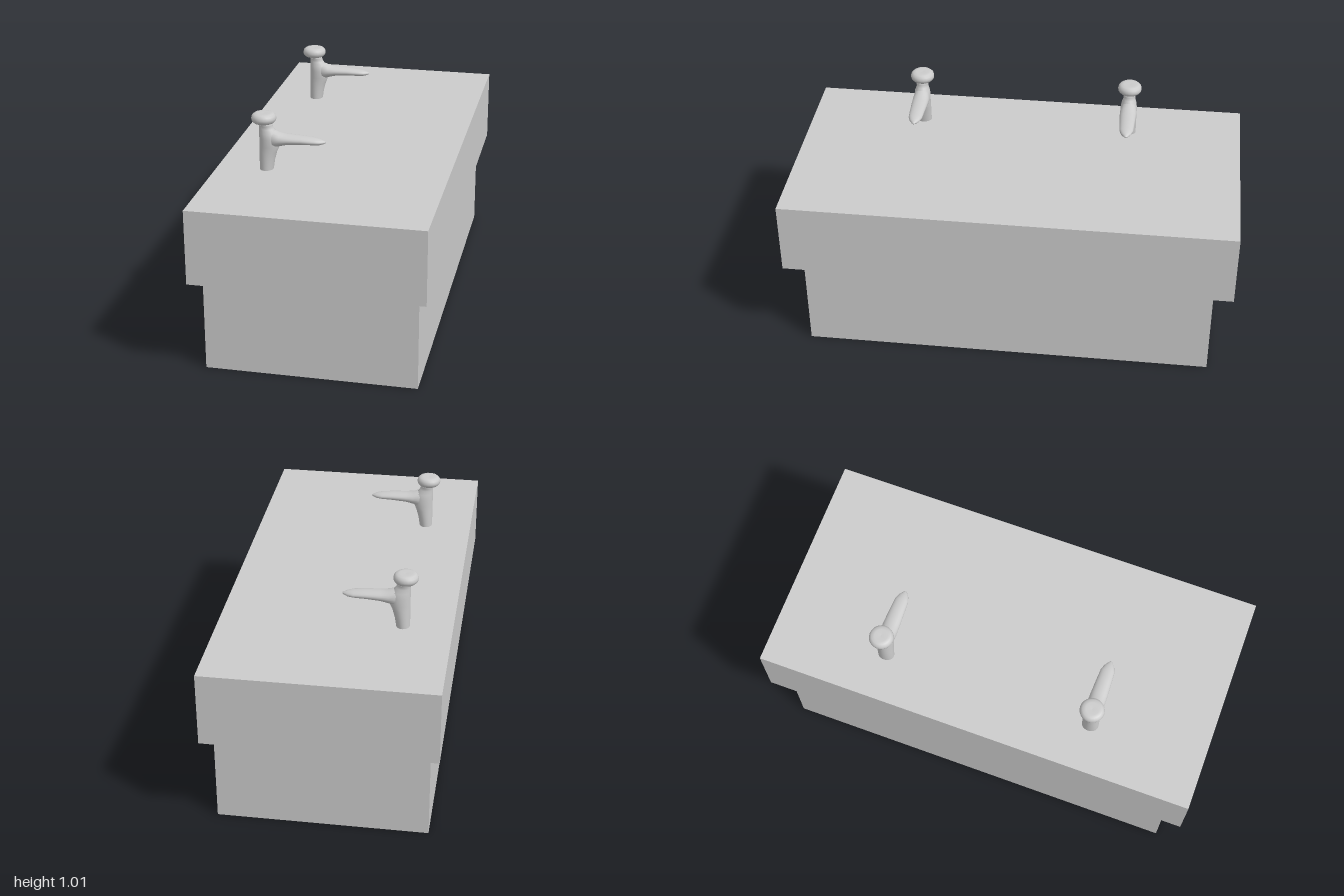
import * as THREE from 'three';

const material = new THREE.MeshStandardMaterial({ color: 0xcccccc, side: THREE.DoubleSide });

// Skin through closed elliptical sections; each section is [centre, axisA, axisB]
function loft(sections, sides = 20) {
  const positions = [], index = [];
  const ring = ([c, a, b]) => {
    for (let i = 0; i < sides; i++) {
      const t = (i / sides) * Math.PI * 2, u = Math.cos(t), v = Math.sin(t);
      positions.push(c[0] + a[0] * u + b[0] * v, c[1] + a[1] * u + b[1] * v, c[2] + a[2] * u + b[2] * v);
    }
  };
  sections.forEach(ring);
  for (let s = 0; s < sections.length - 1; s++) {
    for (let i = 0; i < sides; i++) {
      const j = (i + 1) % sides, p = s * sides, q = p + sides;
      index.push(p + i, p + j, q + i, p + j, q + j, q + i);
    }
  }
  // Close the far end
  const last = (sections.length - 1) * sides;
  const end = sections[sections.length - 1][0];
  positions.push(...end);
  for (let i = 0; i < sides; i++) index.push(last + i, last + ((i + 1) % sides), positions.length / 3 - 1);
  const g = new THREE.BufferGeometry();
  g.setAttribute('position', new THREE.Float32BufferAttribute(positions, 3));
  g.setIndex(index);
  g.computeVertexNormals();
  return g;
}

function addMesh(parent, name, geometry) {
  const mesh = new THREE.Mesh(geometry, material);
  mesh.name = name;
  parent.add(mesh);
  return mesh;
}

function addBlock(parent, name, w, d, y0, y1) {
  addMesh(parent, name, new THREE.BoxGeometry(w, y1 - y0, d)).position.y = (y0 + y1) / 2;
}

function createTap() {
  const tap = new THREE.Group();

  // Column: [y, left x, right x, half depth]
  const column = [
    [0.755, -0.316, -0.257, 0.037], [0.8, -0.316, -0.25, 0.037], [0.84, -0.316, -0.239, 0.037],
    [0.865, -0.316, -0.228, 0.037], [0.9, -0.316, -0.225, 0.038], [0.925, -0.316, -0.235, 0.034],
    [0.943, -0.316, -0.252, 0.027], [0.958, -0.316, -0.258, 0.028], [0.975, -0.318, -0.258, 0.034],
  ].map(([y, l, r, d]) => [[(l + r) / 2, y, 0], [(r - l) / 2, 0, 0], [0, 0, -d]]);
  addMesh(tap, 'column', loft(column));

  // Spout: [x, bottom y, top y, half depth]
  const spout = [
    [-0.28, 0.85, 0.945, 0.03], [-0.25, 0.858, 0.938, 0.037], [-0.225, 0.868, 0.927, 0.038],
    [-0.19, 0.877, 0.922, 0.037], [-0.13, 0.882, 0.919, 0.034], [-0.075, 0.884, 0.914, 0.031],
    [-0.05, 0.885, 0.909, 0.022], [-0.035, 0.889, 0.904, 0.011], [-0.026, 0.894, 0.9, 0.004],
  ].map(([x, b, t, d]) => [[x, (b + t) / 2, 0], [0, (t - b) / 2, 0], [0, 0, d]]);
  addMesh(tap, 'spout', loft(spout));

  // Rounded knob
  const profile = [
    [0, 0.966], [0.032, 0.966], [0.044, 0.971], [0.052, 0.98], [0.054, 0.99],
    [0.051, 1.002], [0.042, 1.01], [0.028, 1.013], [0, 1.011],
  ].map(([r, y]) => new THREE.Vector2(r, y));
  addMesh(tap, 'knob', new THREE.LatheGeometry(profile, 24)).position.x = -0.295;
  return tap;
}

export function createModel() {
  const model = new THREE.Group();
  addBlock(model, 'base', 0.914, 1.826, 0, 0.43);
  addBlock(model, 'topSlab', 1, 2, 0.43, 0.76);

  // Matching pair of taps along one long side
  [['frontTap', 0.48], ['backTap', -0.48]].forEach(([name, z]) => {
    const tap = createTap();
    tap.name = name;
    tap.position.z = z;
    model.add(tap);
  });
  return model;
}
